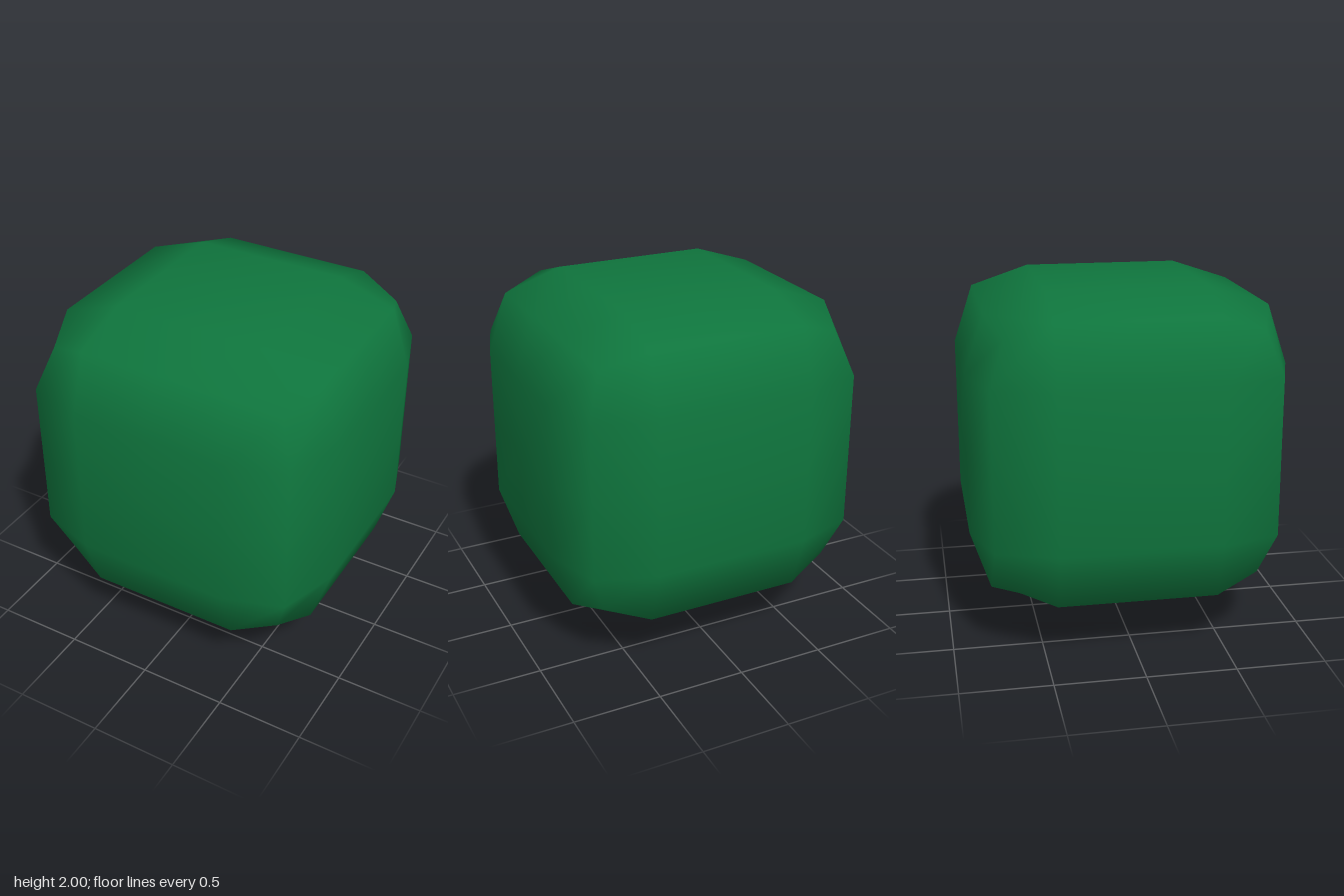
import * as THREE from 'three';
import { mergeVertices } from 'three/addons/utils/BufferGeometryUtils.js';

const leaf = new THREE.MeshStandardMaterial({ color: 0x0f753d });
const bark = new THREE.MeshStandardMaterial({ color: 0x5a4839 });

// Cube with its edges and corners pulled in, as after one step of smoothing
function softCube(half) {
  let geo = new THREE.BoxGeometry(2, 2, 2, 4, 4, 4);
  geo.deleteAttribute('normal');
  geo.deleteAttribute('uv');
  geo = mergeVertices(geo);
  const pos = geo.attributes.position;
  const pull = [1, 1, 0.875, 0.778];
  for (let i = 0; i < pos.count; i++) {
    const p = [pos.getX(i), pos.getY(i), pos.getZ(i)];
    const outer = p.filter((v) => Math.abs(v) > 0.99).length;
    const q = p.map((v) => (Math.abs(v) > 0.99 ? v * pull[outer] : v) * half);
    pos.setXYZ(i, ...q);
  }
  geo.computeVertexNormals();
  return geo;
}

// Tube along a curve whose radius runs from r0 to r1
function taperedTube(points, r0, r1) {
  const curve = new THREE.CatmullRomCurve3(points.map((p) => new THREE.Vector3(...p)));
  const rings = 14, sides = 10;
  const geo = new THREE.TubeGeometry(curve, rings, 1, sides);
  const pos = geo.attributes.position;
  const v = new THREE.Vector3();
  for (let i = 0; i <= rings; i++) {
    const c = curve.getPointAt(i / rings);
    const r = r0 + (r1 - r0) * (i / rings);
    for (let j = 0; j <= sides; j++) {
      const k = i * (sides + 1) + j;
      v.fromBufferAttribute(pos, k).sub(c).multiplyScalar(r).add(c);
      pos.setXYZ(k, v.x, v.y, v.z);
    }
  }
  geo.computeVertexNormals();
  return geo;
}

export function createModel() {
  const group = new THREE.Group();
  const add = (name, geo, mat) => {
    const mesh = new THREE.Mesh(geo, mat);
    mesh.name = name;
    group.add(mesh);
    return mesh;
  };

  add('foliage', softCube(0.884), leaf).position.y = 1.116;

  // Short flared trunk, closed below
  const profile = [[0, 0.003], [0.043, 0.004], [0.049, 0.014], [0.046, 0.04], [0.041, 0.06],
    [0.046, 0.085], [0.053, 0.11], [0.045, 0.145], [0.03, 0.17], [0, 0.18]];
  add('trunk', new THREE.LatheGeometry(profile.map((p) => new THREE.Vector2(...p)), 16), bark)
    .position.x = -0.005;

  // Branches spread out from the trunk and end inside the foliage
  const branches = [
    ['frontBranch', [[0, 0.07, 0], [-0.005, 0.13, 0.06], [-0.01, 0.18, 0.115], [-0.005, 0.25, 0.14], [0, 0.4, 0.15]], 0.046, 0.03],
    ['middleBranch', [[0, 0.09, 0], [-0.005, 0.16, 0], [-0.005, 0.24, 0.005], [0, 0.36, 0.01]], 0.045, 0.025],
    ['rightBranch', [[-0.01, 0.09, 0], [-0.09, 0.13, -0.06], [-0.18, 0.165, -0.115], [-0.225, 0.225, -0.15], [-0.25, 0.36, -0.17]], 0.036, 0.018],
    ['leftBranch', [[0, 0.09, 0], [0.08, 0.14, 0], [0.16, 0.18, 0.02], [0.25, 0.225, 0.045], [0.36, 0.3, 0.06]], 0.036, 0.009],
    ['leftTwig', [[0.08, 0.145, 0], [0.14, 0.18, -0.05], [0.185, 0.235, -0.1], [0.22, 0.34, -0.13]], 0.022, 0.009],
    ['backBranch', [[0, 0.08, 0], [0.01, 0.12, -0.07], [0.03, 0.175, -0.145], [0.05, 0.235, -0.19], [0.06, 0.34, -0.23]], 0.03, 0.009],
    ['rightTwig', [[-0.03, 0.11, -0.02], [-0.065, 0.16, -0.05], [-0.092, 0.23, -0.08], [-0.11, 0.34, -0.1]], 0.02, 0.009],
  ];
  for (const [name, points, r0, r1] of branches) add(name, taperedTube(points, r0, r1), bark);

  return group;
}
